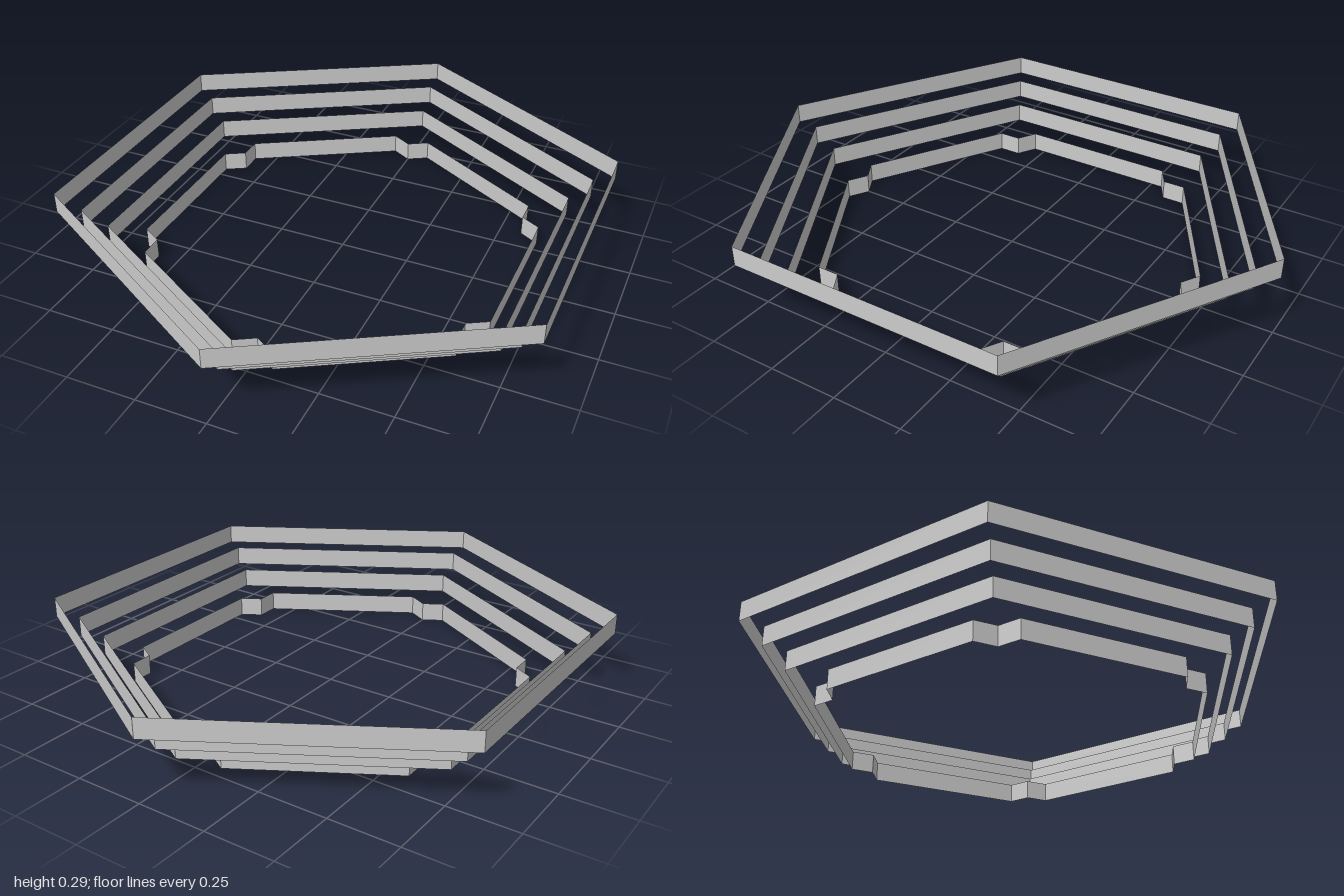
import * as THREE from 'three';

const STEP = 0.0725; // height of one tier
const APEX = Math.PI / 3;

const polar = (radius, angle) => [radius * Math.sin(angle), radius * Math.cos(angle)];

// Plain hexagon with corners on the z axis
function hexagon(radius) {
  return Array.from({ length: 6 }, (_, i) => polar(radius, i * APEX));
}

// Hexagon whose corners are folded inward into small diamond notches
function notchedHexagon(radius, cut) {
  const points = [];
  for (let i = 0; i < 6; i++) {
    const [cx, cz] = polar(radius, i * APEX);
    const toward = (angle) => {
      const [dx, dz] = polar(cut, angle);
      return [cx + dx, cz + dz];
    };
    points.push(
      toward(i * APEX - APEX * 2),
      polar(radius - cut, i * APEX),
      toward(i * APEX + APEX * 2)
    );
  }
  return points;
}

// Thin upright wall following a closed outline
function wall(outline, y0, y1) {
  const positions = [];
  outline.forEach(([ax, az], i) => {
    const [bx, bz] = outline[(i + 1) % outline.length];
    positions.push(ax, y0, az, bx, y0, bz, bx, y1, bz);
    positions.push(ax, y0, az, bx, y1, bz, ax, y1, az);
  });
  const geometry = new THREE.BufferGeometry();
  geometry.setAttribute('position', new THREE.Float32BufferAttribute(positions, 3));
  geometry.computeVertexNormals();
  return geometry;
}

export function createModel() {
  const group = new THREE.Group();
  group.name = 'steppedHexagon';
  const material = new THREE.MeshStandardMaterial({
    color: 0xcccccc, flatShading: true, side: THREE.DoubleSide
  });

  // Tiers from the notched base up to the widest rim
  const tiers = [
    ['notchedBase', notchedHexagon(0.75, 0.082)],
    ['lowerTier', hexagon(0.834)],
    ['upperTier', hexagon(0.917)],
    ['topRim', hexagon(1)]
  ];
  tiers.forEach(([name, outline], i) => {
    const mesh = new THREE.Mesh(wall(outline, i * STEP, (i + 1) * STEP), material);
    mesh.name = name;
    group.add(mesh);
  });
  return group;
}
